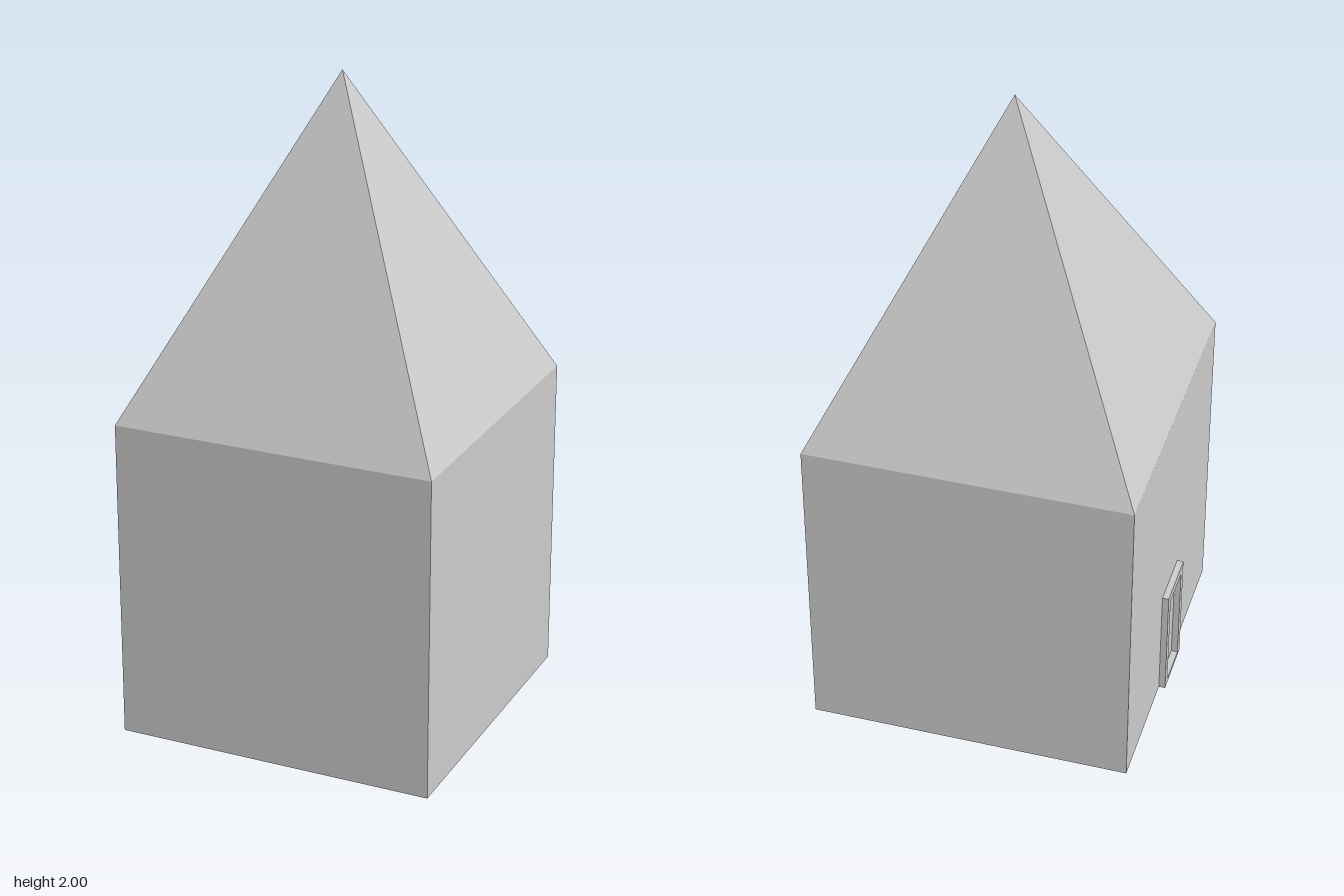
import * as THREE from 'three';

const material = new THREE.MeshStandardMaterial({ color: 0xcccccc, flatShading: true });

function addPart(group, name, geometry, x, y, z) {
  const mesh = new THREE.Mesh(geometry, material);
  mesh.name = name;
  mesh.position.set(x, y, z);
  group.add(mesh);
}

// Closed rectangle outline, usable as a shape or a hole
function rectangle(path, x0, y0, x1, y1) {
  path.moveTo(x0, y0);
  path.lineTo(x1, y0);
  path.lineTo(x1, y1);
  path.lineTo(x0, y1);
  path.closePath();
  return path;
}

export function createModel() {
  const tower = new THREE.Group();
  tower.name = 'tower';
  const centreX = 0.01, size = 1, frameDepth = 0.02;

  // Square walls with floor
  addPart(tower, 'walls', new THREE.BoxGeometry(size, 1, size), centreX, 0.5, 0);

  // Steep four-sided roof, flush with the walls
  const roof = new THREE.ConeGeometry(size * Math.SQRT1_2, 1, 4, 1, true).rotateY(Math.PI / 4);
  addPart(tower, 'roof', roof, centreX, 1.5, 0);

  // Door frame standing out from the -x wall, with a thin sill
  const outline = rectangle(new THREE.Shape(), -0.095, 0, 0.095, 0.365);
  outline.holes.push(rectangle(new THREE.Path(), -0.067, 0.014, 0.067, 0.335));
  const frame = new THREE.ExtrudeGeometry(outline, { depth: frameDepth, bevelEnabled: false });
  frame.rotateY(-Math.PI / 2);
  addPart(tower, 'doorFrame', frame, centreX - size / 2, 0, 0);

  return tower;
}
